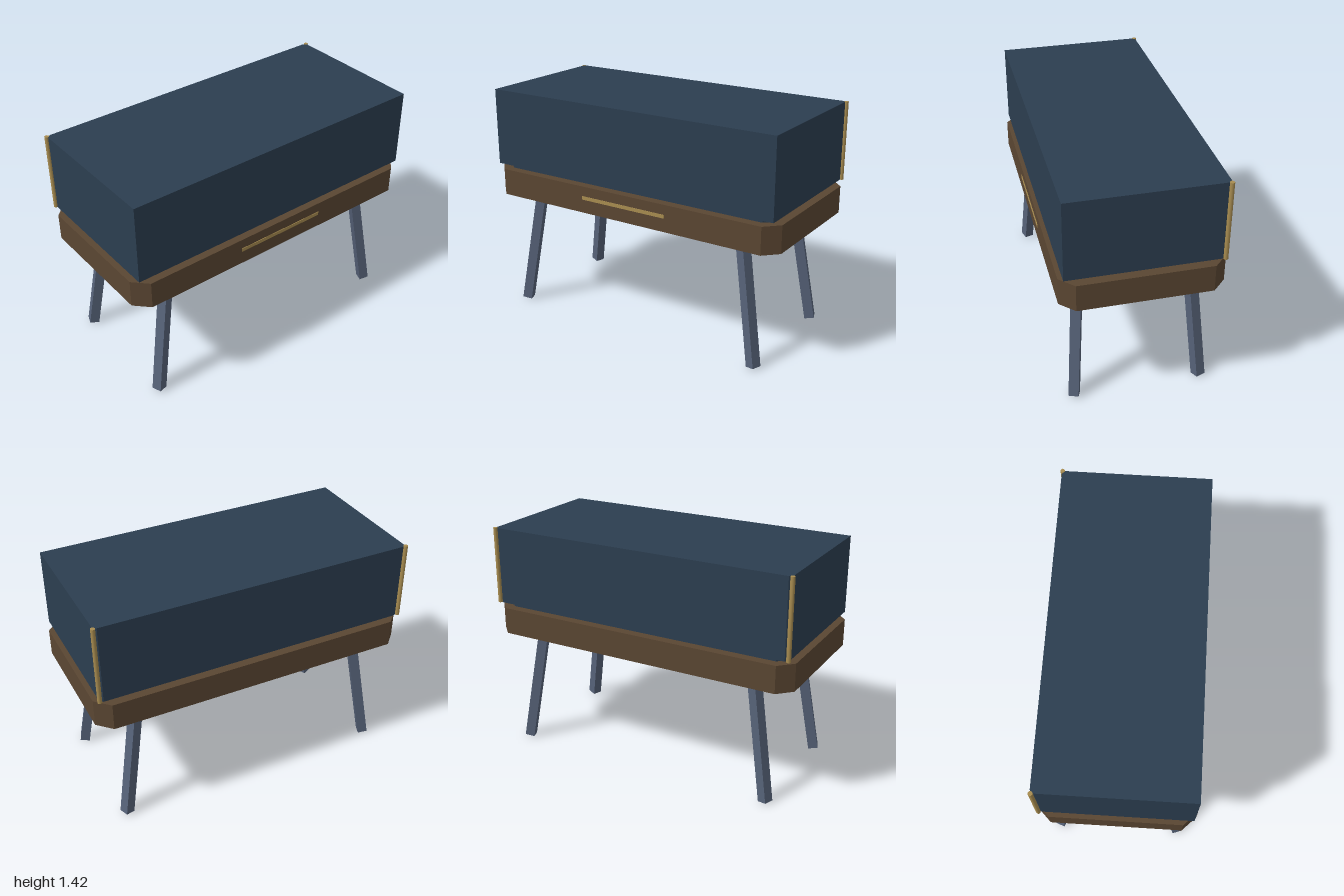
import * as THREE from 'three';

const navy = new THREE.MeshStandardMaterial({ color: 0x2c3e50 });
navy.name = 'navy';
const wood = new THREE.MeshStandardMaterial({ color: 0x5a4632 });
wood.name = 'walnut';
const steel = new THREE.MeshStandardMaterial({ color: 0x566278 });
steel.name = 'slateSteel';
const brass = new THREE.MeshStandardMaterial({ color: 0xa88c50 });
brass.name = 'brass';

// Upright slab with cut corners: half width, half depth, front and back cut, bottom and top height
function slab(hx, hz, front, back, y0, y1) {
  const f = front, b = back;
  const corners = [
    [-hx + f, -hz], [hx - f, -hz], [hx, -hz + f], [hx, hz - b],
    [hx - b, hz], [-hx + b, hz], [-hx, hz - b], [-hx, -hz + f],
  ];
  const points = corners
    .map(([x, y]) => new THREE.Vector2(x, y))
    .filter((p, i, all) => i === 0 || p.distanceTo(all[i - 1]) > 1e-6);
  const geo = new THREE.ExtrudeGeometry(new THREE.Shape(points), { depth: y1 - y0, bevelEnabled: false });
  geo.rotateX(-Math.PI / 2);
  geo.translate(0, y0, 0);
  return geo;
}

export function createModel() {
  const model = new THREE.Group();
  model.name = 'cabinetOnLegs';
  const add = (name, geo, mat) => {
    const mesh = new THREE.Mesh(geo, mat);
    mesh.name = name;
    model.add(mesh);
    return mesh;
  };

  // Wooden tray, recessed neck and the big upper box
  add('base', slab(1, 0.47, 0.083, 0.083, 0.747, 0.914), wood);
  add('neck', slab(0.938, 0.413, 0.045, 0.045, 0.914, 0.94), navy);
  add('upperBox', slab(0.977, 0.449, 0, 0.02, 0.94, 1.42), navy);

  // Inlaid strip on the front of the tray
  add('frontStrip', new THREE.BoxGeometry(0.59, 0.022, 0.006), brass).position.set(0, 0.842, 0.47);

  // Mirrored corner rods and splayed legs
  const up = new THREE.Vector3(0, 1, 0);
  for (const sx of [-1, 1]) {
    add('cornerRod', new THREE.CylinderGeometry(0.0135, 0.0135, 0.482, 12), brass)
      .position.set(sx * 0.978, 1.18, -0.445);

    for (const sz of [-1, 1]) {
      const foot = new THREE.Vector3(sx * 0.853, 0.007, sz * 0.381);
      const top = new THREE.Vector3(sx * 0.731, 0.76, sz * 0.328);
      const dir = top.clone().sub(foot);
      const leg = add('leg', new THREE.BoxGeometry(0.06, dir.length(), 0.06), steel);
      leg.position.copy(foot).add(top).multiplyScalar(0.5);
      const yaw = new THREE.Quaternion().setFromAxisAngle(up, -sx * sz * 0.35);
      leg.quaternion.setFromUnitVectors(up, dir.normalize()).multiply(yaw);
    }
  }
  return model;
}
